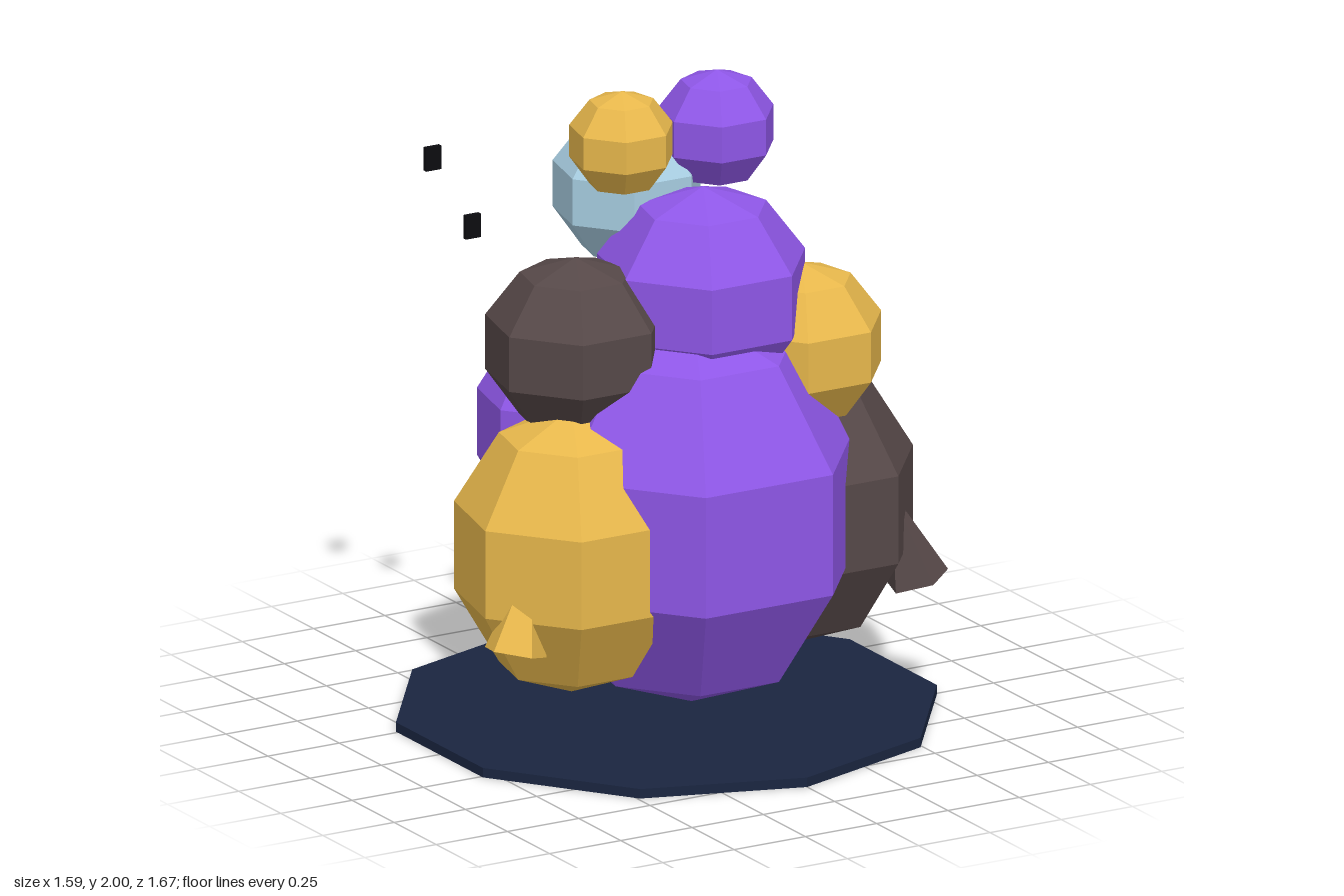
import * as THREE from 'three';

const mat = (color) => new THREE.MeshStandardMaterial({ color, flatShading: true });

export function createModel() {
  const model = new THREE.Group();
  model.name = 'stackedBlobFigure';

  const purple = mat(0x8f57e8);
  const yellow = mat(0xe8b84c);
  const blue = mat(0xa8cee2);
  const brown = mat(0x564848);
  const navy = mat(0x1a2540);
  const black = mat(0x0c0c10);

  const add = (name, geometry, material, x, y, z) => {
    const mesh = new THREE.Mesh(geometry, material);
    mesh.name = name;
    mesh.position.set(x, y, z);
    model.add(mesh);
    return mesh;
  };

  // Ten-sided base disc
  add('base', new THREE.CylinderGeometry(0.837, 0.837, 0.03, 10), navy, 0, 0.015, 0);

  // Seven-sided blobs, a corner at the back and a flat at the front
  const blobGeometry = new THREE.SphereGeometry(1, 7, 5, -Math.PI / 2);
  const blobs = [
    // name, material, centre x y z, horizontal radius, vertical radius
    ['mainBody', purple, 0, 0.7, 0.15, 0.54, 0.62],
    ['rightBody', yellow, -0.42, 0.63, 0.148, 0.377, 0.45],
    ['leftBody', brown, 0.42, 0.63, 0.076, 0.38, 0.45],
    ['backLeftBody', blue, 0.15, 0.855, -0.233, 0.34, 0.392],
    ['backRightBody', purple, -0.231, 0.895, -0.21, 0.283, 0.345],
    ['middleHead', purple, 0.082, 1.353, 0.079, 0.34, 0.33],
    ['rightHead', brown, -0.34, 1.235, 0.036, 0.29, 0.28],
    ['leftHead', yellow, 0.383, 1.155, 0.153, 0.266, 0.258],
    ['backHead', blue, 0, 1.61, -0.228, 0.242, 0.237],
    ['topRightHead', yellow, -0.153, 1.836, -0.005, 0.169, 0.164],
    ['topLeftHead', purple, 0.225, 1.801, -0.081, 0.188, 0.184],
  ];
  for (const [name, material, x, y, z, r, h] of blobs) {
    add(name, blobGeometry, material, x, y, z).scale.set(r, h, r);
  }

  // Small cones leaning into the two side bodies
  const coneGeometry = new THREE.ConeGeometry(0.1, 0.3, 5);
  for (const [name, side, material] of [['leftFoot', 1, brown], ['rightFoot', -1, yellow]]) {
    const foot = new THREE.Vector3(0.705 * side, 0.39, 0.295);
    const tip = new THREE.Vector3(0.63 * side, 0.68, 0.265);
    const centre = foot.clone().lerp(tip, 0.5);
    const cone = add(name, coneGeometry, material, centre.x, centre.y, centre.z);
    cone.quaternion.setFromUnitVectors(new THREE.Vector3(0, 1, 0), tip.sub(foot).normalize());
  }

  // Row of thin floating tiles rising behind the figure
  const tileGeometry = new THREE.BoxGeometry(0.053, 0.075, 0.015);
  [[-0.027, 1.0, -0.462], [-0.187, 1.228, -0.5], [-0.364, 1.457, -0.538], [-0.481, 1.682, -0.575]]
    .forEach(([x, y, z], i) => add(`backTile${i + 1}`, tileGeometry, black, x, y, z));

  return model;
}
